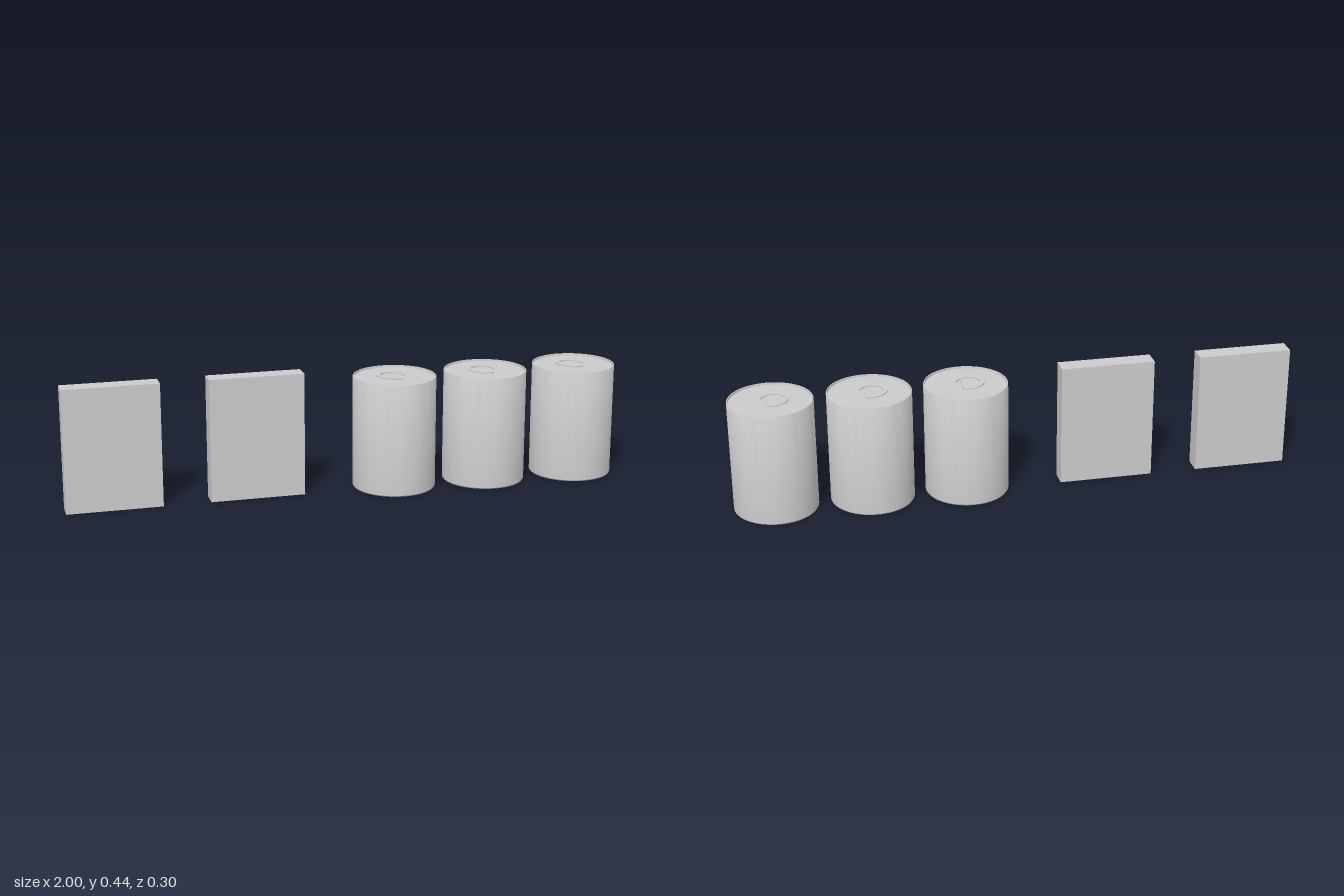
import * as THREE from 'three';
import { toCreasedNormals } from 'three/addons/utils/BufferGeometryUtils.js';

const material = new THREE.MeshStandardMaterial({ color: 0xcccccc });

function part(name, geometry) {
  const mesh = new THREE.Mesh(geometry, material);
  mesh.name = name;
  return mesh;
}

// Can shell: recessed base, straight wall, thin rim and sunken lid
function canBodyGeometry() {
  const profile = [
    [0, 0.004], [0.143, 0.004], [0.145, 0], [0.148, 0.004],
    [0.148, 0.403], [0.147, 0.405], [0.144, 0.405], [0.143, 0.398], [0, 0.398],
  ].map(([r, y]) => new THREE.Vector2(r, y));
  return toCreasedNormals(new THREE.LatheGeometry(profile, 64), 0.5);
}

// Teardrop pull tab: round finger end with a hole, tapering to a point at +x
function pullTabGeometry() {
  const radius = 0.057, tip = 0.138;
  const tangent = Math.acos(radius / tip);
  const shape = new THREE.Shape();
  shape.moveTo(tip, 0);
  shape.absarc(0, 0, radius, tangent, Math.PI * 2 - tangent, false);
  shape.closePath();
  const hole = new THREE.Path();
  hole.absarc(0, 0, 0.042, 0, Math.PI * 2, true);
  shape.holes.push(hole);
  const geometry = new THREE.ExtrudeGeometry(shape, {
    depth: 0.004, bevelEnabled: false, curveSegments: 32,
  });
  geometry.rotateX(-Math.PI / 2);
  return toCreasedNormals(geometry, 0.5);
}

export function createModel() {
  const model = new THREE.Group();
  model.name = 'cansAndBoxes';

  // Two thin upright boxes
  const boxGeometry = new THREE.BoxGeometry(0.336, 0.44, 0.067);
  [-0.832, -0.328].forEach((x, i) => {
    const box = part(`box${i + 1}`, boxGeometry);
    box.position.set(x, 0.22, -0.005);
    model.add(box);
  });

  // Three cans in a row
  const body = canBodyGeometry();
  const tab = pullTabGeometry();
  [0.175, 0.513, 0.852].forEach((x, i) => {
    const can = new THREE.Group();
    can.name = `can${i + 1}`;
    const pullTab = part('pullTab', tab);
    pullTab.position.set(-0.008, 0.4025, 0);
    pullTab.rotation.z = -0.04; // finger end slightly lifted
    can.add(part('canBody', body), pullTab);
    can.position.x = x;
    model.add(can);
  });

  return model;
}
